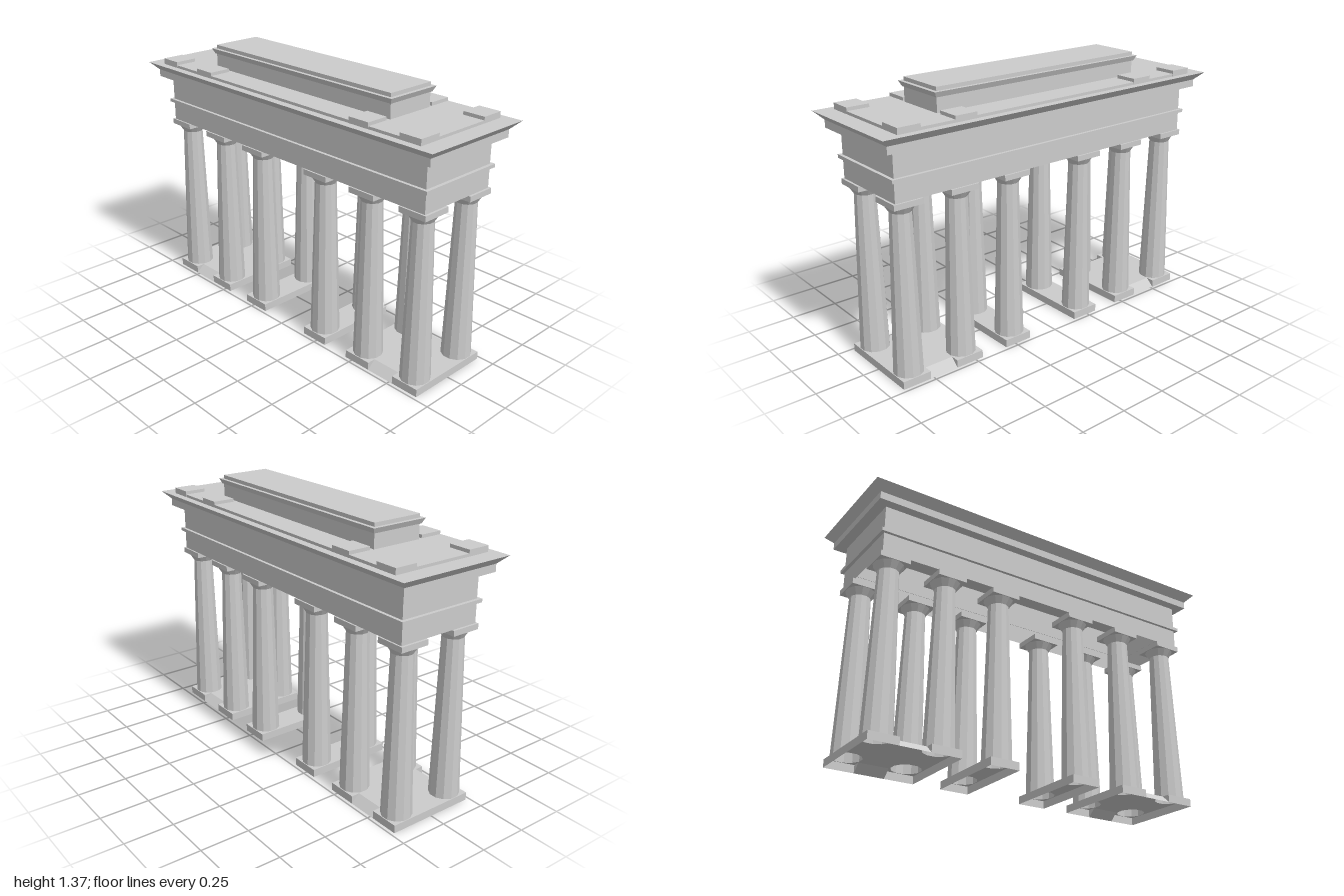
import * as THREE from 'three';

const stone = new THREE.MeshStandardMaterial({ color: 0xcccccc, flatShading: true, side: THREE.DoubleSide });
stone.name = 'stone';

const SIDES = 12, TURN = Math.PI / SIDES;
const FOOT = 0.075, NECK = 0.053, COLUMN_Z = 0.154;
const PLINTH_TOP = 0.04, PLINTH_Z = 0.231;

function add(group, name, geometry, x = 0, y = 0, z = 0) {
  const mesh = new THREE.Mesh(geometry, stone);
  mesh.name = name;
  mesh.position.set(x, y, z);
  group.add(mesh);
  return mesh;
}

// box given by its full width, depth and its bottom and top heights
function block(group, name, w, d, y0, y1, x = 0, z = 0) {
  return add(group, name, new THREE.BoxGeometry(w, y1 - y0, d), x, (y0 + y1) / 2, z);
}

// rectangular moulding that widens from bottom to top
function flare(group, name, w0, d0, w1, d1, y0, y1) {
  const g = new THREE.BoxGeometry(1, y1 - y0, 1);
  const p = g.attributes.position;
  for (let i = 0; i < p.count; i++) {
    const top = p.getY(i) > 0;
    p.setX(i, p.getX(i) * (top ? w1 : w0));
    p.setZ(i, p.getZ(i) * (top ? d1 : d0));
  }
  g.computeVertexNormals();
  return add(group, name, g, 0, (y0 + y1) / 2, 0);
}

// hollow walls between two matching outlines (plan coordinates, counter-clockwise)
function walls(lower, upper, y0, y1) {
  const v = [];
  lower.forEach((a, i) => {
    const j = (i + 1) % lower.length;
    const b = lower[j], c = upper[j], d = upper[i];
    const A = [a[0], y0, -a[1]], B = [b[0], y0, -b[1]], C = [c[0], y1, -c[1]], D = [d[0], y1, -d[1]];
    v.push(...A, ...B, ...C, ...A, ...C, ...D);
  });
  const g = new THREE.BufferGeometry();
  g.setAttribute('position', new THREE.Float32BufferAttribute(v, 3));
  g.computeVertexNormals();
  return g;
}

// open-bottomed plinth; the column feet pierce its top, optional ramps cut its long edges
function plinth(group, x0, x1, columns, ramp) {
  const lower = [], upper = [];
  for (const s of [-1, 1]) {
    const z = s * PLINTH_Z, inner = s * (PLINTH_Z - 0.045);
    const [start, end] = s < 0 ? [x0, x1] : [x1, x0];
    lower.push([start, z]);
    upper.push([start, z]);
    if (ramp) {
      const [a, b] = s < 0 ? ramp : [ramp[1], ramp[0]];
      lower.push([a, z], [a, z], [b, z], [b, z]);
      upper.push([a, z], [a, inner], [b, inner], [b, z]);
    }
    lower.push([end, z]);
    upper.push([end, z]);
  }
  const shape = new THREE.Shape(upper.map(p => new THREE.Vector2(...p)));
  for (const x of columns) for (const z of [-COLUMN_Z, COLUMN_Z]) {
    const ring = [];
    for (let i = 0; i < SIDES; i++) {
      const t = TURN + i * 2 * TURN;
      ring.push(new THREE.Vector2(x + FOOT * Math.sin(t), z + FOOT * Math.cos(t)));
    }
    shape.holes.push(new THREE.Path(ring));
  }
  add(group, 'plinthTop', new THREE.ShapeGeometry(shape).rotateX(-Math.PI / 2), 0, PLINTH_TOP, 0);
  add(group, 'plinthWalls', walls(lower, upper, 0, PLINTH_TOP));
}

// tapered shaft, flared capital and square abacus
function column(x, z) {
  const g = new THREE.Group();
  g.name = 'column';
  g.position.set(x, 0, z);
  const tube = (r1, r0, y0, y1, name) =>
    add(g, name, new THREE.CylinderGeometry(r1, r0, y1 - y0, SIDES, 1, true, TURN), 0, (y0 + y1) / 2, 0);
  tube(NECK, FOOT, PLINTH_TOP, 0.855, 'shaft');
  tube(0.075, NECK, 0.855, 0.89, 'capital');
  block(g, 'abacus', 0.153, 0.153, 0.89, 0.918);
  return g;
}

export function createModel() {
  const model = new THREE.Group();
  model.name = 'colonnadeGate';

  // plinths: a wide one under each outer group of four, a narrow one beside the passage
  const xs = [0.2325, 0.538, 0.842];
  for (const s of [-1, 1]) {
    const span = (a, b) => (s > 0 ? [a, b] : [-b, -a]);
    plinth(model, ...span(0.46, 0.918), [s * xs[1], s * xs[2]], span(0.613, 0.767));
    plinth(model, ...span(0.155, 0.31), [s * xs[0]], null);
    for (const x of xs) for (const z of [-COLUMN_Z, COLUMN_Z]) model.add(column(s * x, z));
  }

  // entablature, open underneath, with a string course around it
  const outline = [[-0.907, -0.222], [0.907, -0.222], [0.907, 0.222], [-0.907, 0.222]];
  add(model, 'entablature', walls(outline, outline, 0.918, 1.162));
  const rail = 0.018, bw = 1.848, bd = 0.476;
  for (const s of [-1, 1]) {
    block(model, 'stringCourse', bw, rail, 1.018, 1.035, 0, s * (bd - rail) / 2);
    block(model, 'stringCourse', rail, bd - 2 * rail, 1.018, 1.035, s * (bw - rail) / 2, 0);
  }

  // cornice and roof slab
  block(model, 'corniceBase', 1.92, 0.54, 1.162, 1.2);
  flare(model, 'cornice', 1.92, 0.54, 2, 0.62, 1.2, 1.24);
  block(model, 'roofSlab', 1.814, 0.54, 1.24, 1.254);

  // low pedestals on the roof
  for (const x of [0.849, 0.553]) for (const sx of [-1, 1]) for (const sz of [-1, 1])
    block(model, 'roofPedestal', 0.117, 0.117, 1.24, 1.271, sx * x, sz * 0.2125);

  // attic with moulding and cap
  block(model, 'attic', 1.23, 0.268, 1.254, 1.328);
  flare(model, 'atticMoulding', 1.242, 0.28, 1.268, 0.305, 1.328, 1.355);
  block(model, 'atticCap', 1.23, 0.268, 1.355, 1.374);

  return model;
}
